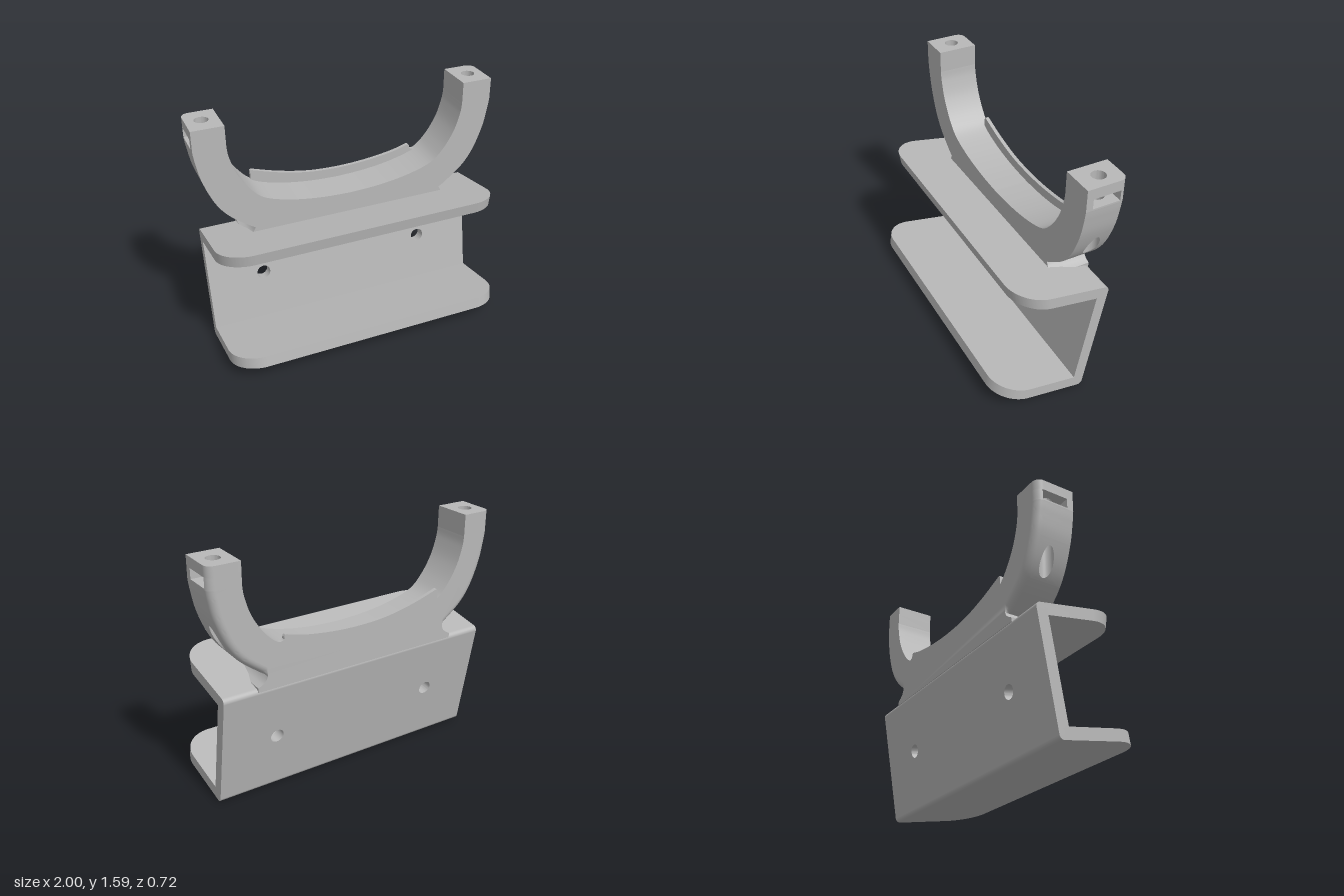
import * as THREE from 'three';
import { toCreasedNormals } from 'three/addons/utils/BufferGeometryUtils.js';

const V2 = (x, y) => new THREE.Vector2(x, y);
const FRONT = -0.1, BACK = -0.36, ROUND = 0.05; // arch depth and rear edge radius
const ARM_Y = 1.45;                             // where the straight arm ends start
const BOLT = { x: 0.9, z: -0.233, r: 0.044 };

function finish(positions) {
  const g = new THREE.BufferGeometry();
  g.setAttribute('position', new THREE.Float32BufferAttribute(positions, 3));
  return toCreasedNormals(g, 0.6);
}

function extrude(shape, depth) {
  return toCreasedNormals(new THREE.ExtrudeGeometry(shape, { depth, bevelEnabled: false, curveSegments: 20 }), 0.6);
}

function addHole(shape, x, y, r) {
  const hole = new THREE.Path();
  hole.absarc(x, y, r, 0, Math.PI * 2, true);
  shape.holes.push(hole);
}

export function createModel() {
  const model = new THREE.Group();
  const grey = new THREE.MeshStandardMaterial({ color: 0xb8b8b8, side: THREE.DoubleSide });
  grey.name = 'grey plastic';
  const add = (name, geometry, parent = model) => {
    const mesh = new THREE.Mesh(geometry, grey);
    mesh.name = name;
    parent.add(mesh);
    return mesh;
  };

  // Tilted channel: a drilled web between two plates with rounded front corners
  const channel = new THREE.Group();
  channel.name = 'channel';
  channel.position.set(-0.01, 0, -0.225);
  channel.rotation.x = -Math.PI / 18;
  model.add(channel);
  const W = 0.955, H = 0.79, T = 0.075, R = 0.03;

  const web = new THREE.Shape([V2(-W, R), V2(W, R), V2(W, H - R), V2(-W, H - R)]);
  for (const s of [-1, 1]) addHole(web, s * 0.578, 0.4, 0.045);
  add('web', extrude(web, 0.072), channel);

  const plate = (name, length, top, lean) => {
    const c = 0.2, s = new THREE.Shape();
    s.moveTo(-W, R);
    s.lineTo(W, R);
    s.lineTo(W, length - c);
    s.absarc(W - c, length - c, c, 0, Math.PI / 2);
    s.absarc(c - W, length - c, c, Math.PI / 2, Math.PI);
    const g = new THREE.ExtrudeGeometry(s, { depth: T, bevelEnabled: false, curveSegments: 20 });
    g.rotateX(Math.PI / 2);
    const p = g.attributes.position;
    for (let i = 0; i < p.count; i++) p.setZ(i, p.getZ(i) + lean * p.getY(i));
    add(name, toCreasedNormals(g, 0.6), channel).position.y = top;
  };
  plate('topPlate', 0.615, H, 0.34);
  plate('bottomPlate', 0.596, T, 0);
  for (const y of [R, H - R]) {
    const edge = add('roundedRearEdge', new THREE.CylinderGeometry(R, R, 2 * W, 24), channel);
    edge.rotation.z = Math.PI / 2;
    edge.position.set(0, y, R);
  }

  // Arch outline, right half: base, flared neck, outer curve, inner curve
  const outerCurve = new THREE.SplineCurve([
    V2(0.655, 0.855), V2(0.7, 0.885), V2(0.82, 0.983), V2(0.9, 1.095),
    V2(0.962, 1.25), V2(0.99, 1.38), V2(1, ARM_Y)]);
  const N = 40, outer = [];
  for (let i = 0; i <= N; i++) {
    const p = outerCurve.getPoint(i / N), t = outerCurve.getTangent(i / N);
    const w = Math.min(1, i / 5);
    outer.push({ x: p.x, y: p.y, nx: -t.y * w, ny: t.x * w });
  }
  outer[N].nx = -1;
  outer[N].ny = 0;
  const plain = (p) => ({ x: p.x, y: p.y, nx: 0, ny: 0 });
  const base = [V2(0.72, 0.765), V2(0.72, 0.795), V2(0.69, 0.81), V2(0.667, 0.83)].map(plain);
  const inner = new THREE.SplineCurve([
    V2(0.795, ARM_Y), V2(0.785, 1.38), V2(0.745, 1.26), V2(0.67, 1.14),
    V2(0.575, 1.055), V2(0.4, 1.0), V2(0.2, 0.97), V2(0, 0.96)]).getPoints(48).map(plain);
  const half = [...base, ...outer, ...inner];
  const outline = [...half, ...half.slice(0, -1).reverse().map((p) => ({ ...p, x: -p.x, nx: -p.nx }))];
  const count = outline.length, first = base.length;

  // Stations left open for the bolt exits, and the open arm ends
  const a = outer.findIndex((p) => p.x > 0.84), b = outer.findIndex((p) => p.x > 0.955);
  const isExit = (j) => {
    const k = j < half.length ? j : count - 2 - j;
    return k >= first + a && k < first + b;
  };
  const isEnd = (j) => j === first + N || count - 2 - j === first + N;

  const layers = [[FRONT, 0]];
  for (let i = 0; i <= 8; i++) {
    const t = (i / 8) * Math.PI / 2;
    layers.push([BACK + ROUND * (1 - Math.sin(t)), ROUND * (1 - Math.cos(t))]);
  }
  const rings = layers.map(([z, inset]) => outline.map((p) => [p.x + p.nx * inset, p.y + p.ny * inset, z]));
  const pos = [];
  for (let k = 0; k < rings.length - 1; k++) {
    for (let j = 0; j < count; j++) {
      if (isEnd(j) || (k === 0 && isExit(j))) continue;
      const n = (j + 1) % count, A = rings[k], B = rings[k + 1];
      pos.push(...A[j], ...B[j], ...A[n], ...A[n], ...B[j], ...B[n]);
    }
  }
  for (const [ring, flip] of [[rings[0], false], [rings[rings.length - 1], true]]) {
    const faces = THREE.ShapeUtils.triangulateShape(ring.map((p) => V2(p[0], p[1])), []);
    for (const [i, j, k] of faces) pos.push(...ring[i], ...ring[flip ? k : j], ...ring[flip ? j : k]);
  }
  add('archBody', finish(pos));

  // Bolt exits: outer skin around the hole, then the tunnel up the arm
  const skinY = (x) => {
    let i = a;
    while (i < b - 1 && outer[i + 1].x < x) i++;
    const p = outer[i], q = outer[i + 1];
    return p.y + (q.y - p.y) * (x - p.x) / (q.x - p.x);
  };
  const zMid = (FRONT + BACK + ROUND) / 2, zHalf = (FRONT - BACK - ROUND) / 2;
  const xMid = (outer[a].x + outer[b].x) / 2, xHalf = (outer[b].x - outer[a].x) / 2;
  const boltPoint = (row, i, s) => {
    const t = (i / 48) * Math.PI * 2, c = Math.cos(t), n = Math.sin(t);
    const m = Math.max(Math.abs(c), Math.abs(n)), f = Math.min(row / 5, 1);
    const x = THREE.MathUtils.lerp(xMid + xHalf * c / m, BOLT.x + BOLT.r * c, f);
    const z = THREE.MathUtils.lerp(zMid + zHalf * n / m, BOLT.z + BOLT.r * n, f);
    return [s * x, row > 5 ? ARM_Y : skinY(x), z];
  };
  for (const s of [-1, 1]) {
    const q = [];
    for (let row = 0; row < 6; row++) {
      for (let i = 0; i < 48; i++) {
        const A = boltPoint(row, i, s), B = boltPoint(row, i + 1, s);
        const C = boltPoint(row + 1, i, s), D = boltPoint(row + 1, i + 1, s);
        if (s > 0) q.push(...A, ...B, ...C, ...B, ...D, ...C);
        else q.push(...A, ...C, ...B, ...B, ...C, ...D);
      }
    }
    add('boltExit', finish(q));
  }

  // Straight arm ends: drilled floor, side slot for a nut, drilled cap (shape y is -z)
  const armShape = (s, slot) => {
    const sh = new THREE.Shape();
    sh.moveTo(s * 0.795, -FRONT);
    sh.lineTo(s, -FRONT);
    if (slot) for (const [x, z] of [[1, 0.143], [0.83, 0.143], [0.83, 0.318], [0.9998, 0.318]]) sh.lineTo(s * x, z);
    else sh.lineTo(s, -BACK - ROUND);
    for (let i = slot ? 2 : 1; i <= 8; i++) {
      const t = (i / 8) * Math.PI / 2;
      sh.lineTo(s * (1 - ROUND + ROUND * Math.cos(t)), -BACK - ROUND + ROUND * Math.sin(t));
    }
    sh.lineTo(s * 0.795, -BACK);
    if (!slot) addHole(sh, s * BOLT.x, -BOLT.z, BOLT.r);
    return sh;
  };
  for (const s of [-1, 1]) {
    for (const [name, y, h, slot] of [['slotFloor', ARM_Y, 0.01, false], ['nutSlot', 1.46, 0.065, true], ['armCap', 1.525, 0.067, false]]) {
      const g = extrude(armShape(s, slot), h);
      g.rotateX(-Math.PI / 2);
      add(name, g).position.y = y;
    }
  }

  // Thin raised lip along the rear of the cradle
  const lip = new THREE.Shape();
  lip.moveTo(-0.6, 1.0);
  lip.lineTo(-0.6, 1.125);
  lip.quadraticCurveTo(-0.597, 1.14, -0.575, 1.13);
  lip.splineThru([V2(-0.4, 1.077), V2(-0.2, 1.037), V2(0, 1.025), V2(0.2, 1.033), V2(0.4, 1.06), V2(0.525, 1.093)]);
  lip.quadraticCurveTo(0.54, 1.09, 0.54, 1.065);
  lip.quadraticCurveTo(0.55, 1.05, 0.6, 1.055);
  lip.lineTo(0.6, 1.0);
  lip.quadraticCurveTo(0, 0.85, -0.6, 1.0);
  add('rearLip', extrude(lip, 0.025)).position.z = BACK;

  return model;
}
